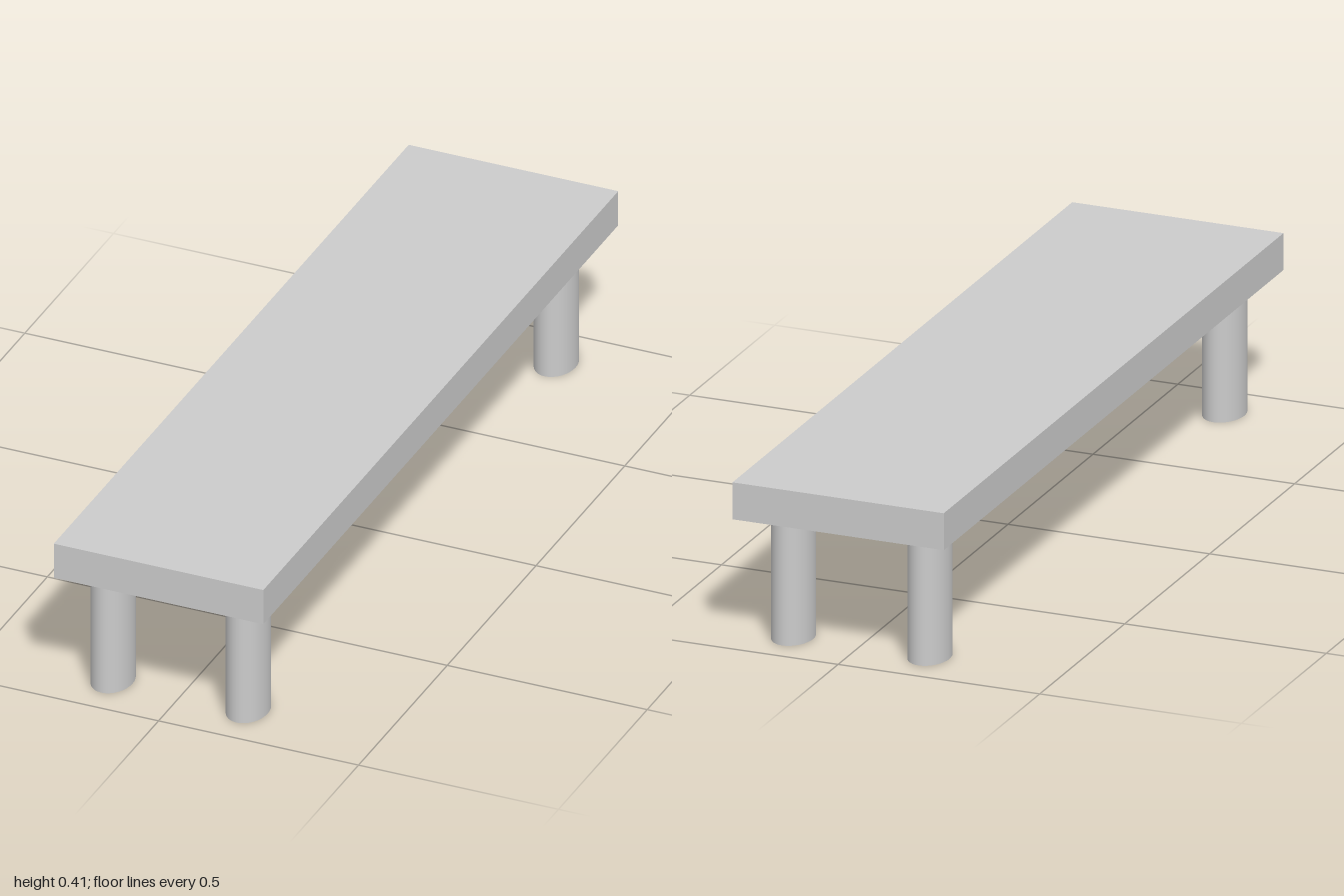
import * as THREE from 'three';

export function createModel() {
  const model = new THREE.Group();
  model.name = 'bench';
  const material = new THREE.MeshStandardMaterial({ color: 0xcccccc });

  // Long flat seat slab
  const bottom = 0.316, top = 0.406;
  const seat = new THREE.Mesh(new THREE.BoxGeometry(0.524, top - bottom, 2), material);
  seat.name = 'seat';
  seat.position.y = (top + bottom) / 2;
  model.add(seat);

  // Four oval legs, slightly longer along the bench than across it
  const legGeometry = new THREE.CylinderGeometry(1, 1, bottom, 32);
  legGeometry.scale(0.0485, 1, 0.067);
  for (const [end, z] of [['front', 0.868], ['back', -0.868]]) {
    for (const [side, x] of [['Left', 0.166], ['Right', -0.172]]) {
      const leg = new THREE.Mesh(legGeometry, material);
      leg.name = `${end}${side}Leg`;
      leg.position.set(x, bottom / 2, z);
      model.add(leg);
    }
  }
  return model;
}
